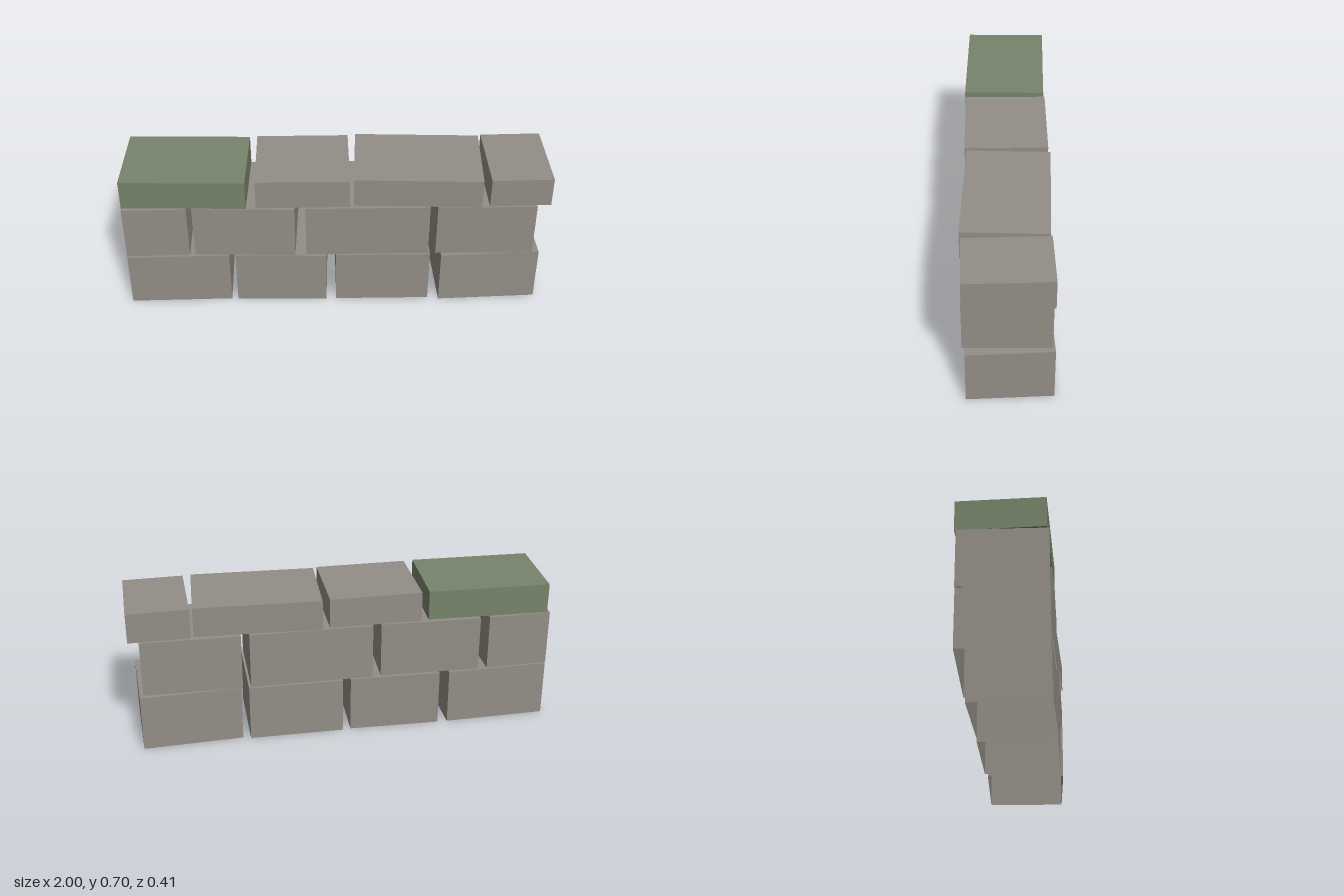
import * as THREE from 'three';

const DEPTH = 0.388;

// Each course: bottom and top height, then stones as [left x, right x, yaw]
const COURSES = [
  { name: 'bottomCourse', y0: 0, y1: 0.272, stones: [
    [-1.0, -0.507, 0.022], [-0.477, -0.035, -0.022], [0.003, 0.452, 0.003], [0.487, 0.975, 0.046]] },
  { name: 'middleCourse', y0: 0.28, y1: 0.549, stones: [
    [-1.0, -0.692, 0.025], [-0.667, -0.18, -0.027], [-0.14, 0.442, 0.004], [0.477, 0.94, -0.005]] },
  { name: 'capCourse', y0: 0.557, y1: 0.7, stones: [
    [-0.99, -0.405, -0.022], [-0.37, 0.067, 0.006], [0.086, 0.692, -0.037], [0.705, 1.0, 0.026]] },
];

// Hollow block: four walls and a top, open underneath
function openBlock(width, height) {
  const geometry = new THREE.BoxGeometry(width, height, DEPTH);
  const bottom = geometry.groups[3];
  const index = Array.from(geometry.index.array);
  index.splice(bottom.start, bottom.count);
  geometry.setIndex(index);
  geometry.clearGroups();
  return geometry;
}

export function createModel() {
  const stone = new THREE.MeshStandardMaterial({ color: 0x938e86, side: THREE.DoubleSide });
  stone.name = 'stone';
  const moss = new THREE.MeshStandardMaterial({ color: 0x77846b, side: THREE.DoubleSide });
  moss.name = 'mossyStone';

  const wall = new THREE.Group();
  wall.name = 'stoneWall';

  for (const { name, y0, y1, stones } of COURSES) {
    const course = new THREE.Group();
    course.name = name;
    stones.forEach(([x0, x1, yaw], i) => {
      // Block width that gives the wanted span once the block is turned
      const width = (x1 - x0 - DEPTH * Math.abs(Math.sin(yaw))) / Math.cos(yaw);
      const mossy = name === 'capCourse' && i === 0;
      const block = new THREE.Mesh(openBlock(width, y1 - y0), mossy ? moss : stone);
      block.name = mossy ? 'mossyCapStone' : `${name}Stone${i + 1}`;
      block.position.set((x0 + x1) / 2, (y0 + y1) / 2, 0);
      block.rotation.y = yaw;
      course.add(block);
    });
    wall.add(course);
  }
  return wall;
}
